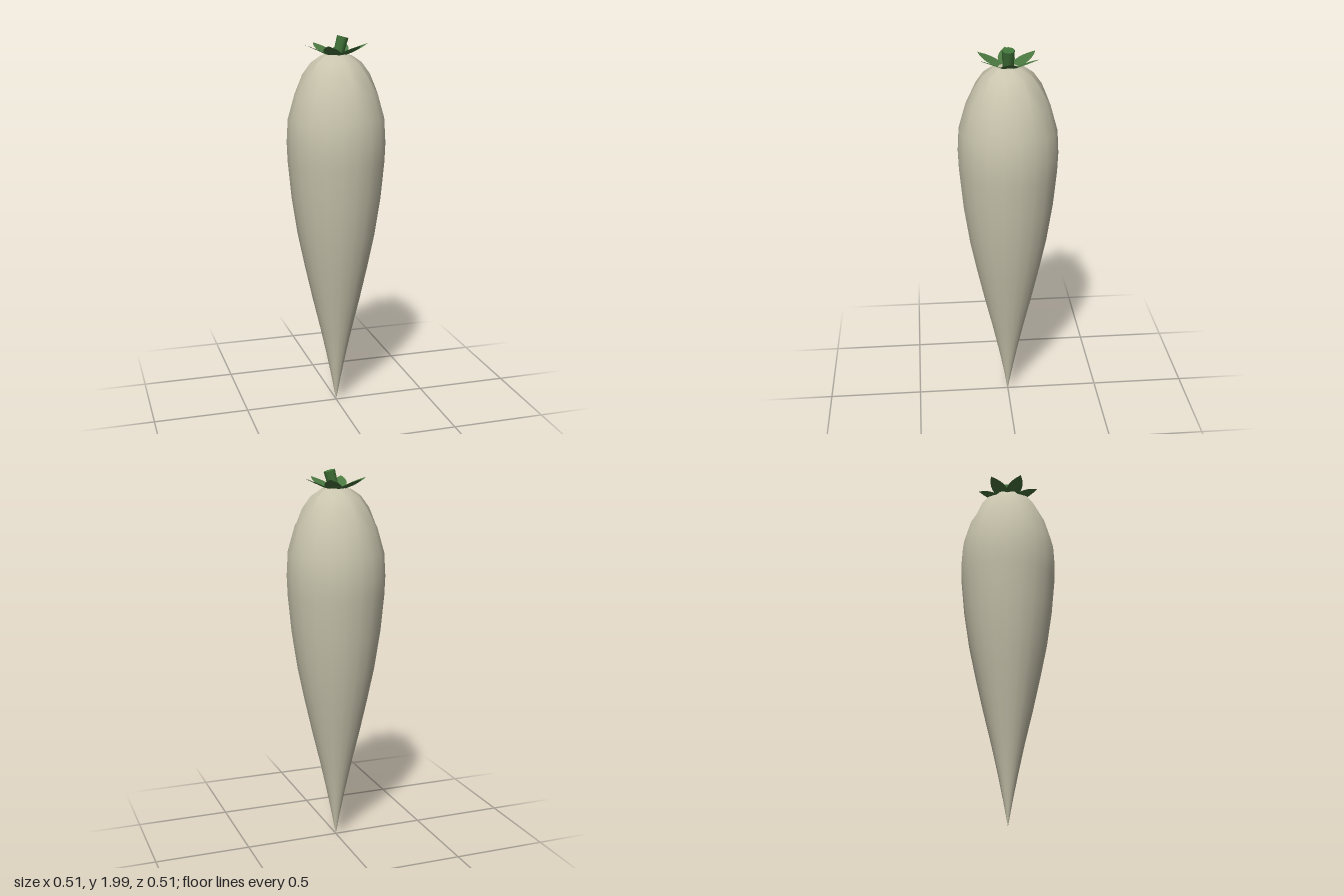
import * as THREE from 'three';

const SEGMENTS = 20;
const LEAVES = 6;

export function createModel() {
  const model = new THREE.Group();
  model.name = 'rootVegetable';
  const cream = new THREE.MeshStandardMaterial({ name: 'cream skin', color: 0xc8c4ad });
  const green = new THREE.MeshStandardMaterial({ name: 'leaf green', color: 0x4a7840, side: THREE.DoubleSide });
  const stemGreen = new THREE.MeshStandardMaterial({ name: 'stem green', color: 0x417339 });

  // Tapered root: [radius, height] profile
  const profile = [
    [0, 0.01], [0.022, 0.13], [0.05, 0.27], [0.085, 0.43], [0.128, 0.61], [0.168, 0.79],
    [0.205, 0.97], [0.235, 1.17], [0.253, 1.36], [0.257, 1.46], [0.25, 1.58], [0.213, 1.71],
    [0.17, 1.805], [0.125, 1.865], [0.075, 1.9], [0.045, 1.905], [0.028, 1.912], [0, 1.9],
  ].map(([r, y]) => new THREE.Vector2(r, y));
  const rootGeo = new THREE.LatheGeometry(profile, SEGMENTS, Math.PI / SEGMENTS);
  // Pinch every other rib toward the crown to gather the skin into folds
  const pos = rootGeo.attributes.position;
  const rows = profile.length;
  for (let i = 0; i < pos.count; i++) {
    const row = i % rows;
    const rib = Math.floor(i / rows) % 2;
    const fold = THREE.MathUtils.smoothstep(pos.getY(i), 1.7, 1.91);
    const scale = 1 + (rib ? -0.12 : 0.05) * fold;
    pos.setX(i, pos.getX(i) * scale);
    pos.setZ(i, pos.getZ(i) * scale);
    if (row === rows - 2 && rib) pos.setY(i, pos.getY(i) - 0.008);
  }
  rootGeo.computeVertexNormals();
  // Average the normals across the lathe seam
  const nor = rootGeo.attributes.normal;
  const a = new THREE.Vector3();
  const b = new THREE.Vector3();
  for (let row = 0; row < rows; row++) {
    const last = SEGMENTS * rows + row;
    a.fromBufferAttribute(nor, row).add(b.fromBufferAttribute(nor, last)).normalize();
    nor.setXYZ(row, a.x, a.y, a.z);
    nor.setXYZ(last, a.x, a.y, a.z);
  }
  const root = new THREE.Mesh(rootGeo, cream);
  root.name = 'root';
  model.add(root);

  // Pointed leaf, lying along +x and rising to its tip
  const outline = new THREE.Shape();
  outline.moveTo(0.01, 0);
  outline.bezierCurveTo(0.04, 0.046, 0.1, 0.068, 0.167, 0);
  outline.bezierCurveTo(0.1, -0.068, 0.04, -0.046, 0.01, 0);
  const leafGeo = new THREE.ShapeGeometry(outline, 8);
  leafGeo.rotateX(-Math.PI / 2);
  const lp = leafGeo.attributes.position;
  for (let i = 0; i < lp.count; i++) {
    lp.setY(i, 1.885 + 0.43 * lp.getX(i));
  }
  leafGeo.computeVertexNormals();
  const crown = new THREE.Group();
  crown.name = 'leafCrown';
  for (let i = 0; i < LEAVES; i++) {
    const leaf = new THREE.Mesh(leafGeo, green);
    leaf.name = 'leaf';
    leaf.rotation.y = (i * Math.PI * 2) / LEAVES;
    crown.add(leaf);
  }
  model.add(crown);

  // Short cut stem leaning to +x
  const stem = new THREE.Mesh(new THREE.CylinderGeometry(0.031, 0.027, 0.11, 8), stemGreen);
  stem.name = 'stem';
  stem.position.set(0.02, 1.939, 0);
  stem.rotation.z = -0.27;
  model.add(stem);

  return model;
}
